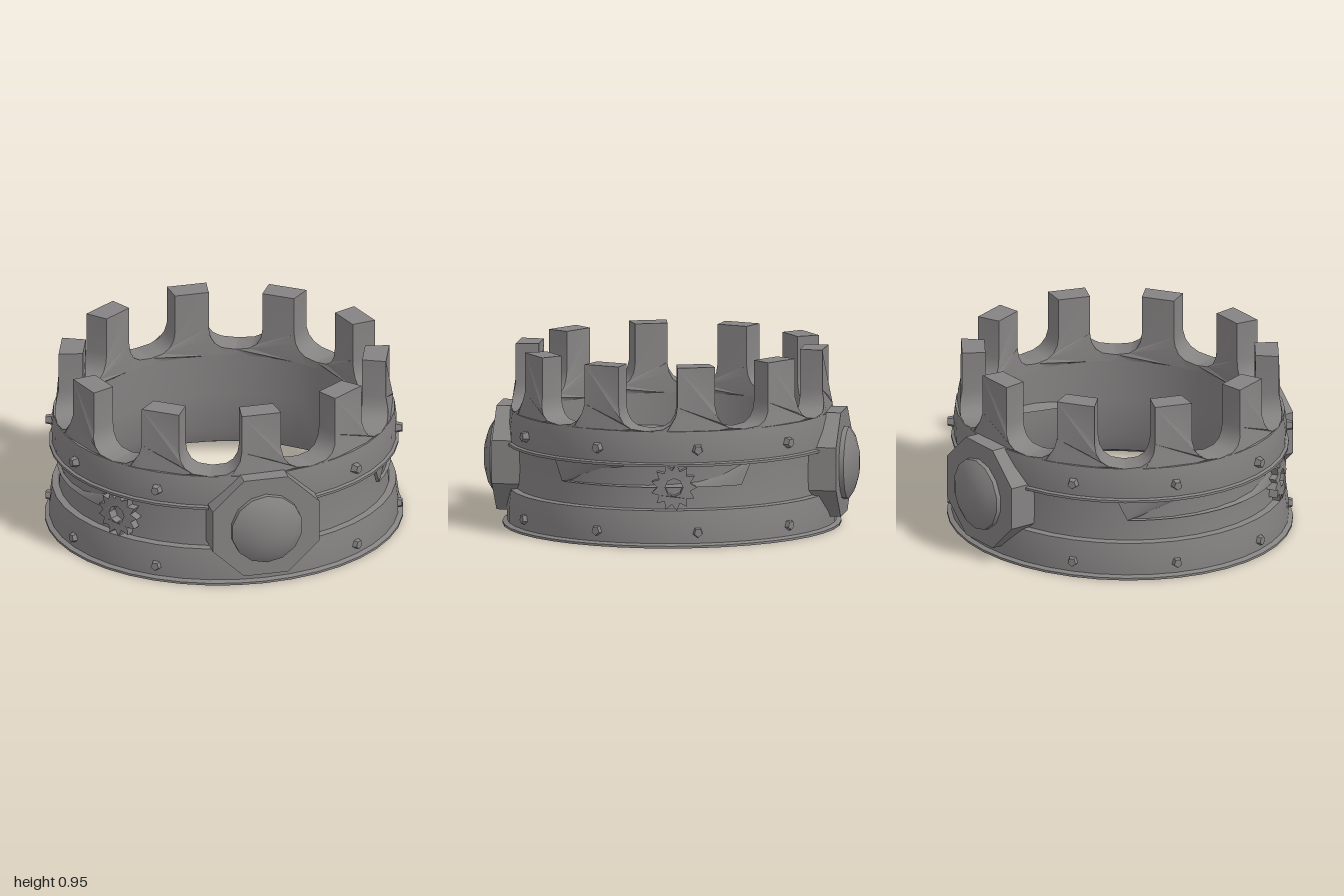
import * as THREE from 'three';
import { toCreasedNormals } from 'three/addons/utils/BufferGeometryUtils.js';

const metal = new THREE.MeshStandardMaterial({ color: 0x858282 });
metal.name = 'grey metal';
const SECTOR = Math.PI / 5;
const R = 0.88;

function add(parent, name, geometry, crease = 0.6) {
  const mesh = new THREE.Mesh(toCreasedNormals(geometry, crease), metal);
  mesh.name = name;
  parent.add(mesh);
  return mesh;
}

// Extrude an outline drawn as (arc length, height) and wrap it round the ring
function wrap(shape, inner, outer, angle, flare = 0) {
  const g = new THREE.ExtrudeGeometry(shape, { depth: 1, bevelEnabled: false });
  const p = g.attributes.position;
  for (let i = 0; i < p.count; i++) {
    const a = angle + p.getX(i) / R, y = p.getY(i), t = p.getZ(i);
    const out = outer + flare * Math.min(1, Math.max(0, (0.74 - y) / 0.12));
    const r = inner + (out - inner) * t;
    p.setXYZ(i, Math.sin(a) * r, y, Math.cos(a) * r);
  }
  g.computeVertexNormals();
  return g;
}

// Battlement outline: straight sides that sweep out into rounded gaps
function merlonShape() {
  const half = SECTOR / 2 * R;
  const side = [[0.108, 0.95], [0.108, 0.74], [0.118, 0.69], [0.145, 0.65], [0.19, 0.625], [half, 0.615]];
  const pts = side.map(([x, y]) => new THREE.Vector2(x, y));
  for (let i = 0; i <= 6; i++) pts.push(new THREE.Vector2(half - half * i / 3, 0.58));
  side.reverse().forEach(([x, y]) => pts.push(new THREE.Vector2(-x, y)));
  return new THREE.Shape(pts.reverse());
}

// Long strip with slanted ends, hanging under the upper band
function panelShape() {
  const pts = [], n = 12;
  for (let i = 0; i <= n; i++) pts.push(new THREE.Vector2(-0.54 + 1.08 * i / n, 0.315));
  for (let i = n; i >= 0; i--) pts.push(new THREE.Vector2(-0.6 + 1.2 * i / n, 0.435));
  return new THREE.Shape(pts);
}

// Toothed ring with an open centre
function cogShape(cy) {
  const ring = (n, radius) => Array.from({ length: n }, (_, i) => {
    const a = i / n * Math.PI * 2;
    return new THREE.Vector2(Math.cos(a) * radius(i), cy + Math.sin(a) * radius(i));
  });
  const shape = new THREE.Shape(ring(26, i => (i % 2 ? 0.09 : 0.125)));
  shape.holes.push(new THREE.Path(ring(8, () => 0.048).reverse()));
  return shape;
}

export function createModel() {
  const crown = new THREE.Group();
  crown.name = 'crown';

  // The ring is slightly oval: narrower from front to back
  const ring = new THREE.Group();
  ring.name = 'ring';
  ring.scale.z = 0.94;
  crown.add(ring);

  // Wall with base rim, two raised bands and a recessed middle
  const profile = [
    [0.75, 0.615], [0.755, 0.35], [0.77, 0.14], [0.81, 0.05], [0.92, 0],
    [0.95, 0], [0.95, 0.012], [0.925, 0.022], [0.925, 0.1], [0.912, 0.195], [0.875, 0.2],
    [0.868, 0.3], [0.872, 0.43], [0.927, 0.43], [0.927, 0.443], [0.912, 0.45],
    [0.915, 0.54], [0.905, 0.615], [0.75, 0.615],
  ].map(([x, y]) => new THREE.Vector2(x, y));
  add(ring, 'wall', new THREE.LatheGeometry(profile, 40));

  // Ten battlements
  for (let i = 0; i < 10; i++) {
    add(ring, 'battlement', wrap(merlonShape(), 0.747, 0.876, i * SECTOR, 0.027));
  }

  // Raised strips on both sides
  for (const s of [1, -1]) {
    add(ring, 'sidePanel', wrap(panelShape(), 0.85, 0.885, s * Math.PI / 2));
  }

  // Two cogs in the recess
  for (const a of [1.74, -0.9]) {
    add(ring, 'cog', wrap(cogShape(0.32), 0.85, 0.918, a), 0.3);
  }

  // Studs on both bands, none where the medallions sit
  for (let i = 0; i < 10; i++) {
    if (i % 5 === 0) continue;
    for (const y of [0.08, 0.52]) {
      const g = new THREE.CylinderGeometry(0.024, 0.038, 0.06, 5);
      g.rotateX(Math.PI / 2);
      const stud = add(ring, 'stud', g, 0.3);
      const a = i * SECTOR;
      stud.position.set(Math.sin(a) * 0.917, y, Math.cos(a) * 0.917);
      stud.rotation.y = a;
    }
  }

  // Octagonal medallion with a domed gem, front and back
  const dome = [[0.195, -0.02], [0.193, 0.025], [0.15, 0.053], [0.085, 0.073], [0, 0.082]]
    .map(([x, y]) => new THREE.Vector2(x, y));
  for (const turn of [0, Math.PI]) {
    const medallion = new THREE.Group();
    medallion.name = turn ? 'backMedallion' : 'frontMedallion';
    medallion.rotation.y = turn;
    const plate = new THREE.CylinderGeometry(0.314, 0.314, 0.16, 8);
    plate.rotateY(Math.PI / 8).rotateX(Math.PI / 2).scale(1, 0.955, 1);
    add(medallion, 'plate', plate).position.set(0, 0.343, 0.838);
    const gem = new THREE.LatheGeometry(dome, 14).rotateX(Math.PI / 2);
    add(medallion, 'gem', gem, 0.7).position.set(0, 0.338, 0.918);
    crown.add(medallion);
  }
  return crown;
}
